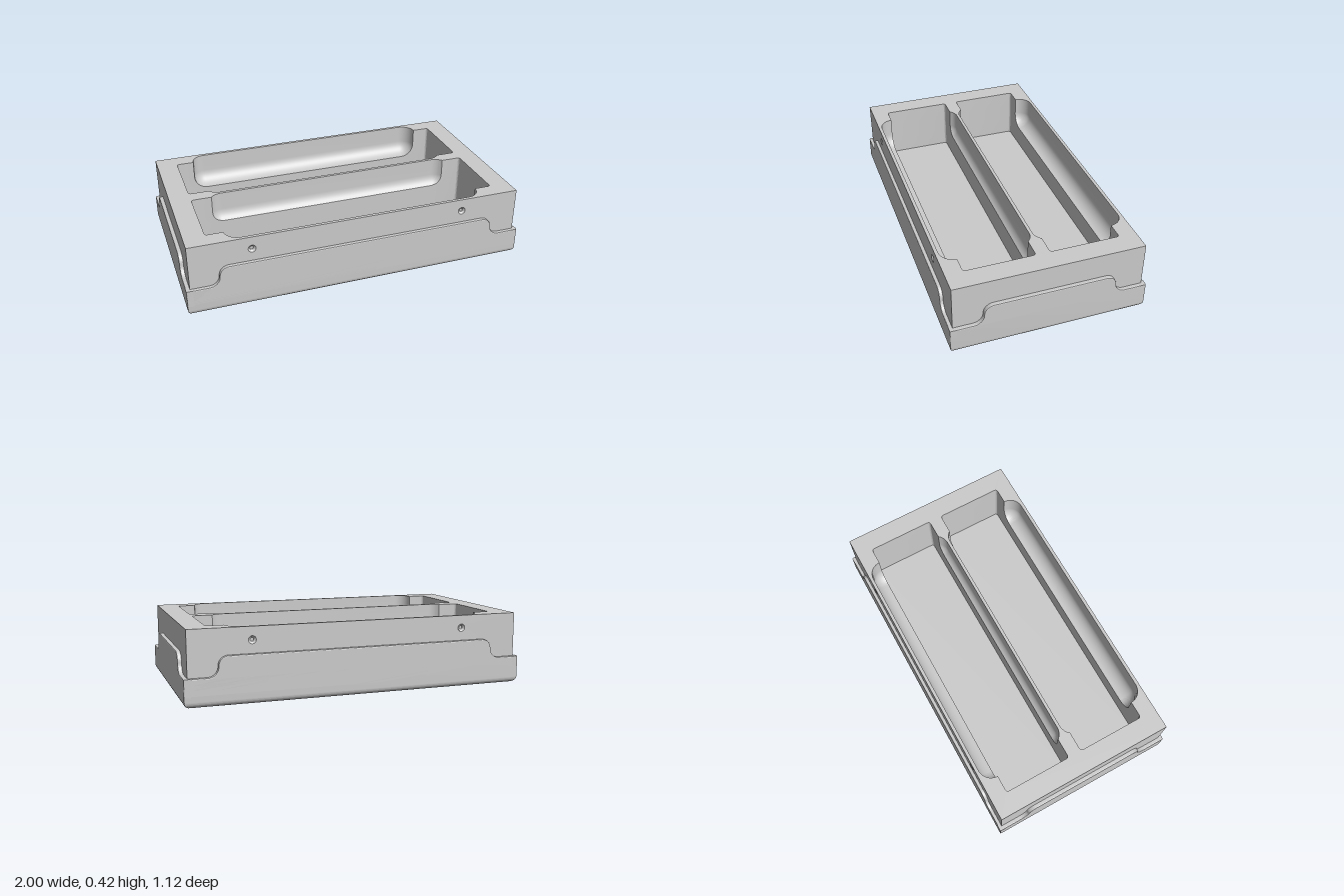
import * as THREE from 'three';
import { toCreasedNormals } from 'three/addons/utils/BufferGeometryUtils.js';

const TOP = 0.42, FLOOR = 0.11;   // rim and pocket floor heights
const BX = 0.977, BZ = 0.54;      // half size of the inner block
const SX = 1, SZ = 0.56;          // half size of the skirt

// Skin between loops of [x, y, z] points; rising loops face outward, falling ones inward
function loft(loops) {
  const n = loops[0].length, index = [];
  for (let i = 0; i < loops.length - 1; i++) {
    for (let j = 0; j < n; j++) {
      const a = i * n + j, b = i * n + (j + 1) % n;
      index.push(a, a + n, b, b, a + n, b + n);
    }
  }
  const geo = new THREE.BufferGeometry();
  geo.setAttribute('position', new THREE.Float32BufferAttribute(loops.flat(2), 3));
  geo.setIndex(index);
  return toCreasedNormals(geo, 0.3);
}

const rectPoints = (x0, x1, y0, y1) =>
  [[x0, y0], [x1, y0], [x1, y1], [x0, y1]].map(([x, y]) => new THREE.Vector2(x, y));

// Rounded rectangle loop at height y
function roundedLoop(hx, hz, r, y) {
  const pts = [];
  [[1, 1], [-1, 1], [-1, -1], [1, -1]].forEach(([sx, sz], q) => {
    for (let k = 0; k <= 4; k++) {
      const a = (q + k / 4) * Math.PI / 2;
      pts.push([sx * (hx - r) + r * Math.cos(a), y, sz * (hz - r) + r * Math.sin(a)]);
    }
  });
  return pts;
}

// Pocket outline: a rectangle widened on both long sides by a recess of corner radius r
function pocketLoop(r, y, side) {
  const px = 0.857, z0 = 0.04, z1 = 0.441;   // pocket rectangle
  const cx = 0.675, cz = 0.089;              // centres of the recess corners
  const cr = 0.015, q = Math.PI / 2;         // pocket corner radius, quarter turn
  const pts = [];
  const arc = (x, z, radius, from, to, n) => {
    for (let k = 0; k <= n; k++) {
      const a = from + (to - from) * k / n;
      pts.push([x + radius * Math.cos(a), y, z + radius * Math.sin(a)]);
    }
  };
  const sunk = r <= cz - z0;                 // inner recess has ended at this height
  const clip = sunk ? q : Math.asin((cz - z0) / r);
  const innerZ = sunk ? z0 + r : cz;
  arc(px - cr, z1 - cr, cr, 0, q, 4);
  arc(cx, z1, r, 0, q, 10);
  arc(-cx, z1, r, q, 2 * q, 10);
  arc(-px + cr, z1 - cr, cr, q, 2 * q, 4);
  arc(-px + cr, z0 + cr, cr, 2 * q, 3 * q, 4);
  arc(-cx, innerZ, r, 2 * q + clip, 3 * q, 10);
  arc(cx, innerZ, r, 3 * q, 4 * q - clip, 10);
  arc(px - cr, z0 + cr, cr, 3 * q, 4 * q, 4);
  return side > 0 ? pts : pts.map(([x, h, z]) => [x, h, -z]).reverse();
}

// Skirt plate outline: low at the corners, rising in an S-curve to the middle
function skirtShape(half) {
  const r = 0.0565, low = 0.16, edge = half - 0.13;
  const s = new THREE.Shape();
  s.moveTo(-half, 0.06);
  s.lineTo(half, 0.06);
  s.lineTo(half, low);
  s.lineTo(edge, low);
  s.absarc(edge, low + r, r, -Math.PI / 2, -Math.PI, true);
  s.absarc(edge - 2 * r, low + r, r, 0, Math.PI / 2, false);
  s.absarc(-edge + 2 * r, low + r, r, Math.PI / 2, Math.PI, false);
  s.absarc(-edge, low + r, r, 0, -Math.PI / 2, true);
  s.lineTo(-half, low);
  return s;
}

export function createModel() {
  const group = new THREE.Group();
  const grey = new THREE.MeshStandardMaterial({ color: 0xcbcbcb, side: THREE.DoubleSide });
  grey.name = 'plain grey';
  const add = (name, geo, parent = group) => {
    const mesh = new THREE.Mesh(geo, grey);
    mesh.name = name;
    parent.add(mesh);
  };

  // Base shell with a rounded lower edge
  const R = 0.035, baseLoops = [];
  for (let k = 0; k <= 8; k++) {
    const a = k / 8 * Math.PI / 2, inset = R * (1 - Math.sin(a));
    baseLoops.push(roundedLoop(SX - inset, SZ - inset, 0.006, R * (1 - Math.cos(a))));
  }
  for (const y of [R + 0.003, 0.153]) baseLoops.push(roundedLoop(SX, SZ, 0.006, y));
  add('baseShell', loft(baseLoops));
  const bottom = new THREE.Shape(rectPoints(-SX + R, SX - R, -SZ + R, SZ - R));
  add('baseBottom', new THREE.ShapeGeometry(bottom).rotateX(Math.PI / 2));

  // Skirt plates on all four sides, with softened edges
  const bevel = 0.006;
  for (const [name, half, dist, turn] of [
    ['frontSkirt', SX, SZ, 0], ['leftSkirt', SZ, SX, 1],
    ['backSkirt', SX, SZ, 2], ['rightSkirt', SZ, SX, 3],
  ]) {
    const geo = new THREE.ExtrudeGeometry(skirtShape(half), {
      depth: 0.03, bevelEnabled: true, bevelThickness: bevel, bevelSize: bevel,
      bevelOffset: -bevel, bevelSegments: 2, curveSegments: 12,
    });
    geo.translate(0, 0, dist - 0.03 - bevel).rotateY(turn * Math.PI / 2);
    add(name, toCreasedNormals(geo, 0.3));
  }

  // Block walls; the long ones are pierced by two screw holes
  const holeX = 0.625, holeY = 0.347, holeR = 0.022;
  const cup = [[0.001, -0.014], [0.01, -0.014], [0.011, -0.01], [holeR, 0]]
    .map(([x, y]) => new THREE.Vector2(x, y));
  for (const [name, turn] of [['front', 0], ['back', Math.PI]]) {
    const side = new THREE.Group();
    side.name = name + 'Side';
    side.rotation.y = turn;
    group.add(side);
    const wall = new THREE.Shape(rectPoints(-BX, BX, 0.1, TOP));
    for (const x of [-holeX, holeX]) {
      wall.holes.push(new THREE.Path().absarc(x, holeY, holeR, 0, Math.PI * 2, true));
      const sink = toCreasedNormals(new THREE.LatheGeometry(cup, 24), 0.5);
      add('screwHole', sink.rotateX(Math.PI / 2).translate(x, holeY, BZ), side);
    }
    add(name + 'Wall', new THREE.ShapeGeometry(wall, 24).translate(0, 0, BZ), side);
  }
  for (const s of [1, -1]) {
    const end = new THREE.PlaneGeometry(2 * BZ, TOP - 0.1);
    end.translate(0, (TOP + 0.1) / 2, BX).rotateY(s * Math.PI / 2);
    add(s > 0 ? 'leftWall' : 'rightWall', end);
  }

  // Two pockets with round-bottomed recesses along their long sides
  const rim = new THREE.Shape(rectPoints(-BX, BX, -BZ, BZ));
  const recess = 0.08, bend = 0.315;   // recess radius and the height where it starts to curve
  for (const side of [1, -1]) {
    const name = side > 0 ? 'frontPocket' : 'backPocket';
    const loops = [TOP, bend + 0.003].map((y) => pocketLoop(recess, y, side));
    for (let k = 0; k <= 12; k++) {
      const t = k / 12 * Math.PI / 2;
      loops.push(pocketLoop(recess * Math.cos(t), bend - recess * Math.sin(t), side));
    }
    loops.push(pocketLoop(0, FLOOR, side));
    add(name + 'Walls', loft(loops));
    const floor = new THREE.PlaneGeometry(1.714, 0.401).rotateX(-Math.PI / 2);
    add(name + 'Floor', floor.translate(0, FLOOR, side * 0.2405));
    rim.holes.push(new THREE.Path(loops[0].map(([x, , z]) => new THREE.Vector2(x, -z))));
  }
  add('topRim', new THREE.ShapeGeometry(rim).rotateX(-Math.PI / 2).translate(0, TOP, 0));

  return group;
}
